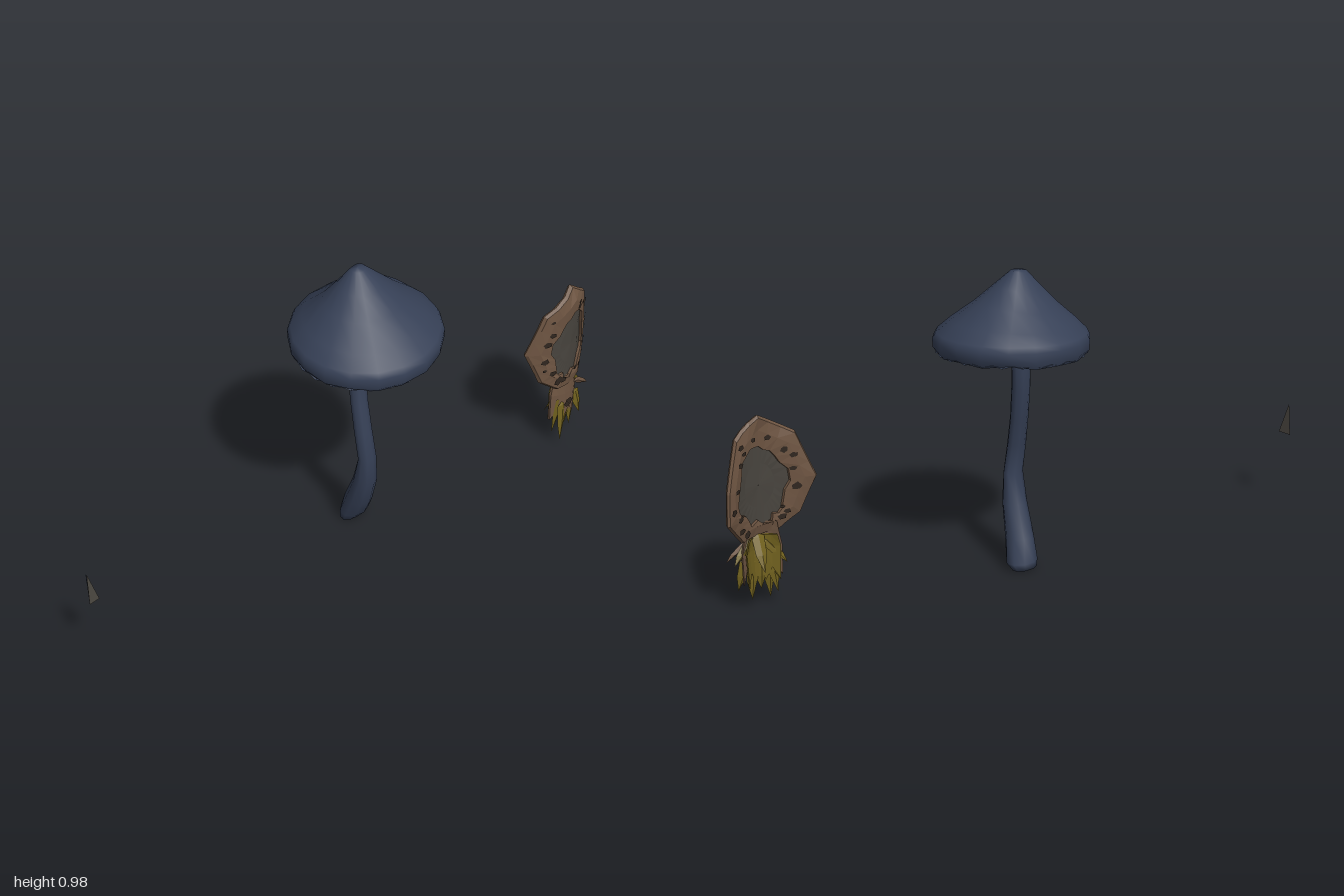
import * as THREE from 'three';

const mat = (name, color) => {
  const m = new THREE.MeshStandardMaterial({ color, side: THREE.DoubleSide });
  m.name = name;
  return m;
};

// Skin a list of closed rings (arrays of [x, y, z]); flat gives faceted normals
function loft(rings, flat = true) {
  const n = rings[0].length, index = [];
  for (let r = 0; r < rings.length - 1; r++) {
    for (let i = 0; i < n; i++) {
      const a = r * n + i, b = r * n + (i + 1) % n;
      index.push(a, a + n, b, b, a + n, b + n);
    }
  }
  let g = new THREE.BufferGeometry();
  g.setAttribute('position', new THREE.Float32BufferAttribute(rings.flat(2), 3));
  g.setIndex(index);
  if (flat) g = g.toNonIndexed();
  g.computeVertexNormals();
  return g;
}

const ring = (n, fn) => Array.from({ length: n }, (_, i) => fn(i / n * Math.PI * 2, i));

function seeded(seed) {
  return () => (seed = (seed * 16807) % 2147483647) / 2147483647;
}

export function createModel() {
  const model = new THREE.Group();
  const navy = mat('navy', 0x364056);
  const brown = mat('brown', 0x6e5542);
  const grey = mat('grey', 0x48443e);
  const olive = mat('olive', 0x72621f);
  const dark = mat('darkBrown', 0x2f261f);
  const rand = seeded(77);

  const add = (parent, name, geometry, material) => {
    const m = new THREE.Mesh(geometry, material);
    m.name = name;
    parent.add(m);
    return m;
  };
  const group = (name) => {
    const g = new THREE.Group();
    g.name = name;
    model.add(g);
    return g;
  };

  // ---- Mushroom: sloping conical cap, gilled underside, bent stem
  const mushroom = group('mushroom');
  const capPoint = (t, y, a) => {
    const c = Math.cos(a), s = Math.sin(a);
    const dent = 0.018 * Math.max(0, -c) ** 4 * Math.sin(Math.PI * t);
    return [-0.04 + 0.03 * t + 0.24 * t * c, y - t * (0.015 * c + 0.015 * s) - dent,
      -0.055 - 0.007 * t + 0.247 * t * s];
  };
  const capRows = [[0.001, 0.982], [0.1, 0.98], [0.3, 0.932], [0.52, 0.879], [0.8, 0.822],
    [0.96, 0.784], [1, 0.765], [0.995, 0.735], [0.95, 0.72]];
  add(mushroom, 'cap', loft(capRows.map(([t, y], r) => ring(18, (a) =>
    capPoint(t, y + (r > 6 ? (rand() - 0.5) * 0.012 : 0), a))), false), navy);

  const gillRows = [[0.96, 0.722, 0.004], [0.6, 0.765, 0.013], [0.3, 0.805, 0.013], [0.05, 0.83, 0]];
  add(mushroom, 'gills', loft(gillRows.map(([t, y, d]) => ring(48, (a, i) =>
    capPoint(t, y + (i % 2 ? d : -d), a)))), navy);

  // Stem rows: y, centre x, centre z, half width x, half depth z
  const stemRows = [[0.83, -0.035, -0.05, 0.026, 0.032], [0.7, -0.036, -0.047, 0.026, 0.032],
    [0.6, -0.031, -0.043, 0.028, 0.031], [0.5, -0.015, -0.036, 0.026, 0.031],
    [0.4, 0.006, -0.03, 0.027, 0.032], [0.3, 0.022, -0.032, 0.025, 0.035],
    [0.2, 0.009, -0.036, 0.039, 0.041], [0.1, -0.027, -0.046, 0.047, 0.046],
    [0.03, -0.058, -0.062, 0.043, 0.055], [0.004, -0.066, -0.056, 0.028, 0.045],
    [0, -0.066, -0.056, 0.001, 0.001]];
  add(mushroom, 'stem', loft(stemRows.map(([y, x, z, rx, rz]) =>
    ring(9, (a) => [x + rx * Math.cos(a), y, z + rz * Math.sin(a)])), false), navy);

  // ---- Curved broken plate, bulging to +x
  const plate = group('curvedPlate');
  const cz = -0.845, cy = 0.41;
  const plateX = (z, y) => 0.24 - 2.6 * (z + 0.835) ** 2 - 6 * Math.max(0, y - 0.57) ** 2;
  const corners = [[-0.845, 0.628], [-0.725, 0.555], [-0.675, 0.41], [-0.72, 0.29], [-0.785, 0.24],
    [-0.92, 0.235], [-0.99, 0.32], [-0.982, 0.42], [-0.93, 0.57]];
  const outline = corners.flatMap(([z, y], i) => {
    const [z2, y2] = corners[(i + 1) % corners.length];
    return [0, 1, 2].map((k) => [z + (z2 - z) * k / 3, y + (y2 - y) * k / 3]);
  });
  const onPlate = (z, y, depth) => [plateX(z, y) - depth, y, z];
  const plateRing = (s, depth) => outline.map(([z, y]) =>
    onPlate(cz + (z - cz) * s, cy + (y - cy) * s, depth));

  // Ragged oval opening in the frame
  const hole = outline.map(([z, y]) => {
    const a = Math.atan2(y - cy, z - cz), k = 0.88 + rand() * 0.24;
    return [cz + 0.092 * k * Math.cos(a), cy - 0.01 + 0.122 * k * Math.sin(a)];
  });
  const holeRing = (depth) => hole.map(([z, y]) => onPlate(z, y, depth));
  add(plate, 'plateFrame', loft([holeRing(0), plateRing(0.78, -0.004), plateRing(0.97, 0),
    plateRing(1, 0.01), plateRing(0.96, 0.022), plateRing(0.78, 0.03), holeRing(0.028), holeRing(0)]), brown);

  // Pane filling the opening
  const paneRing = (s, depth) => outline.map(([z, y]) => {
    const a = Math.atan2(y - cy, z - cz), r = s * 1.15;
    return onPlate(cz + 0.092 * r * Math.cos(a), cy - 0.01 + 0.122 * r * Math.sin(a), depth);
  });
  add(plate, 'pane', loft([0.01, 0.5, 1].map((s) => paneRing(s, 0.009))
    .concat([1, 0.5, 0.01].map((s) => paneRing(s, 0.017)))), grey);

  // Dark pits scattered over both faces of the frame
  const pits = [];
  for (let i = 0; i < 44; i++) {
    const [z, y] = outline[Math.floor(rand() * outline.length)];
    const s = 0.64 + rand() * 0.22, size = 0.008 + rand() * 0.008;
    const pz = cz + (z - cz) * s, py = cy + (y - cy) * s, turn = rand() * 6;
    const depth = i % 2 ? -0.007 : 0.033;
    const rim = ring(5, (a) => onPlate(pz + size * Math.cos(a + turn),
      py + size * (0.5 + rand() * 0.5) * Math.sin(a + turn), depth));
    pits.push([rim, rim.map(() => onPlate(pz, py, depth))]);
  }
  const pitGroup = new THREE.Group();
  pitGroup.name = 'pits';
  plate.add(pitGroup);
  pits.forEach((p) => add(pitGroup, 'pit', loft(p), dark));

  // ---- Broken handle: brown shell outside, olive core inside
  const shell = (rows, depth, thick) => loft(rows.map(([y, r, jag]) => {
    const face = (d, sign) => Array.from({ length: 7 }, (_, i) => {
      const u = sign * (i / 3 - 1);
      return [0.24 - d - 0.03 * u * u, y + (i % 2 ? jag : -jag), -0.855 + r * u];
    });
    return [...face(depth, 1), ...face(depth + thick, -1)];
  }));
  add(plate, 'handleShell', shell([[0.28, 0.055, 0], [0.25, 0.06, 0], [0.2, 0.07, 0], [0.12, 0.068, 0.02]],
    0.002, 0.008), brown);
  add(plate, 'handleCore', shell([[0.24, 0.05, 0], [0.2, 0.06, 0], [0.11, 0.055, 0.02]], 0.011, 0.008), olive);
  add(plate, 'handlePit', loft([0.018, 0.001].map((r) =>
    ring(6, (a) => [0.241, 0.16 + r * Math.sin(a), -0.845 + r * 1.3 * Math.cos(a)]))), dark);

  // Splinters: root then tip
  const splinters = [
    [[0.215, 0.24, -0.86], [0.165, 0.138, -0.87]], [[0.22, 0.22, -0.83], [0.19, 0.14, -0.775]],
    [[0.222, 0.18, -0.82], [0.21, 0.04, -0.8]], [[0.23, 0.16, -0.82], [0.24, 0.016, -0.81]],
    [[0.222, 0.16, -0.88], [0.222, 0.035, -0.885]], [[0.225, 0.17, -0.9], [0.235, 0.07, -0.925]],
    [[0.225, 0.15, -0.85], [0.225, 0.06, -0.85]], [[0.218, 0.23, -0.89], [0.2, 0.17, -0.955]]];
  const spike = ([[x, y, z], tip], w) => loft([ring(4, () => [x, y + 0.01, z]),
    ring(4, (a) => [x + 0.3 * w * Math.cos(a), y, z + w * Math.sin(a)]),
    ring(4, (a) => [(x + tip[0]) / 2 + 0.3 * w * Math.cos(a), (y + tip[1]) / 2, (z + tip[2]) / 2 + 0.85 * w * Math.sin(a)]),
    ring(4, () => tip)]);
  splinters.forEach((s) => add(plate, 'splinter', spike(s, 0.022), olive));
  add(plate, 'sideSplinter', spike([[0.23, 0.22, -0.9], [0.232, 0.175, -0.965]], 0.02), brown);

  // ---- Small loose shard
  const shard = group('shard');
  const foot = [[-0.243, 0.262, 0.95], [-0.185, 0.256, 0.957], [-0.186, 0.256, 0.995]];
  const shardTip = [-0.204, 0.356, 0.981];
  add(shard, 'shardBody', loft([foot.map(() => [-0.205, 0.258, 0.967]), foot, foot.map(() => shardTip)]), grey);
  const sliver = [[-0.228, 0.3, 0.964], [-0.2, 0.28, 0.968], [-0.206, 0.29, 0.978]];
  add(shard, 'shardSliver', loft([sliver, sliver.map(() => [-0.213, 0.352, 0.977])]), navy);

  return model;
}
